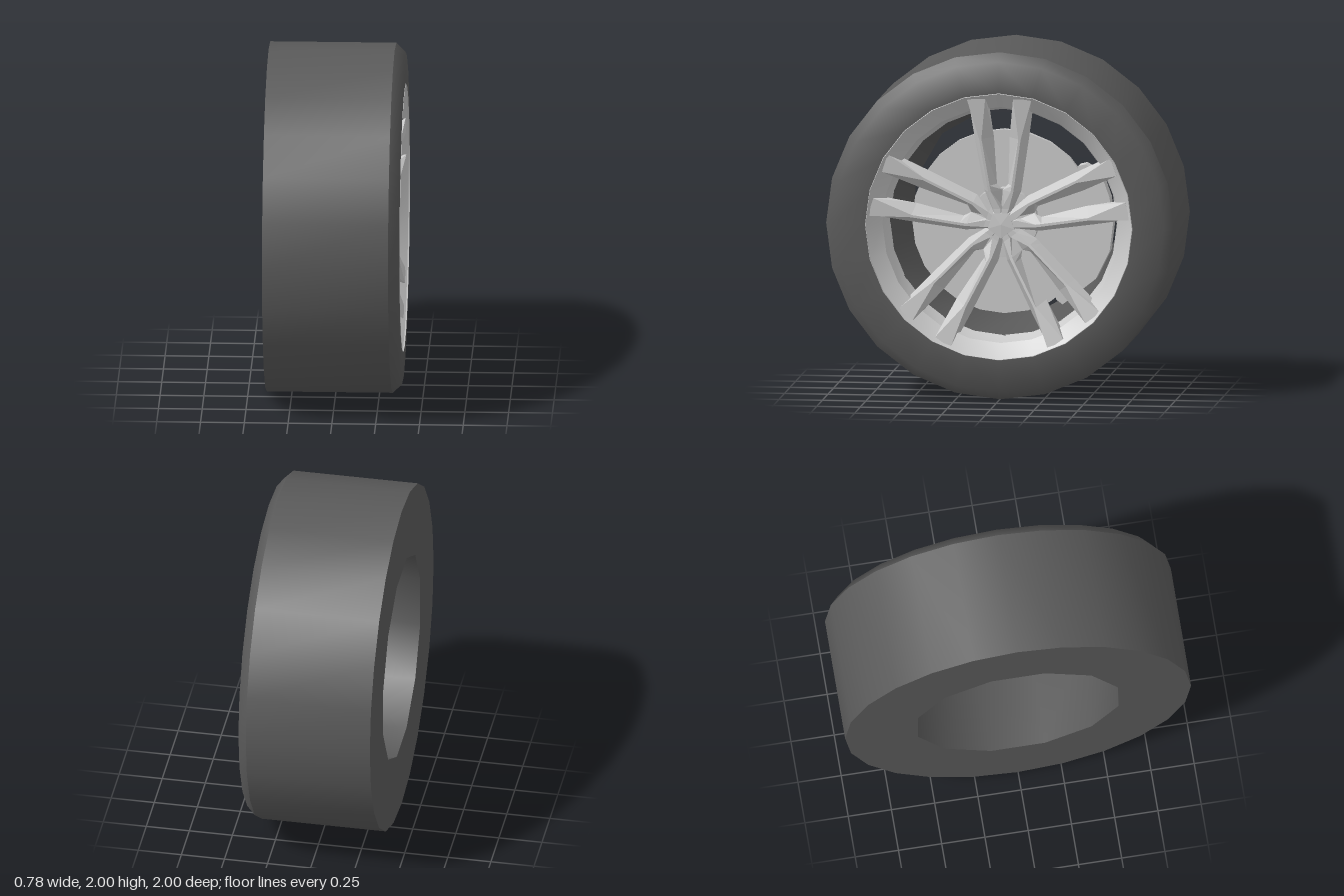
import * as THREE from 'three';
import { toCreasedNormals } from 'three/addons/utils/BufferGeometryUtils.js';

const metal = new THREE.MeshStandardMaterial({ color: 0xcccccc, side: THREE.DoubleSide });
const metalFlat = new THREE.MeshStandardMaterial({ color: 0xcccccc, flatShading: true });
const rubber = new THREE.MeshStandardMaterial({ color: 0x5a5a5a, side: THREE.DoubleSide });

// Revolve [radius, x] points around the wheel axle (x)
function ring(name, points, material, sides = 24, start = 0, crease = 0.6) {
  const profile = points.map(([r, x]) => new THREE.Vector2(r, x));
  const geo = new THREE.LatheGeometry(profile, sides, start);
  geo.rotateZ(-Math.PI / 2);
  const mesh = new THREE.Mesh(toCreasedNormals(geo, crease), material);
  mesh.name = name;
  return mesh;
}

function polygon(Type, radius, sides, start) {
  const points = [];
  for (let i = 0; i < sides; i++) {
    const a = start + (i / sides) * Math.PI * 2;
    points.push(new THREE.Vector2(radius * Math.cos(a), radius * Math.sin(a)));
  }
  return new Type(points);
}

// Spoke stations: radius, inner back/front edge, outer front/back edge, front x, back x
const STATIONS = [
  [0.03, 0, 0, 0.025, 0.03, 0.285, 0.19],
  [0.09, 0, 0.003, 0.045, 0.068, 0.285, 0.19],
  [0.19, 0, 0.057, 0.072, 0.107, 0.297, 0.2],
  [0.225, 0.033, 0.063, 0.078, 0.112, 0.302, 0.205],
  [0.5, 0.045, 0.106, 0.12, 0.157, 0.335, 0.245],
  [0.735, 0.075, 0.08, 0.187, 0.192, 0.37, 0.28],
];

function spokeGeometry(side) {
  const positions = [];
  const index = [];
  const face = (a, b, c) => (side > 0 ? index.push(a, b, c) : index.push(a, c, b));
  STATIONS.forEach(([r, inBack, inFront, outFront, outBack, front, back], s) => {
    positions.push(back, r, side * inBack, front, r, side * inFront);
    positions.push(front, r, side * outFront, back, r, side * outBack);
    if (s === 0) return;
    for (let i = 0; i < 4; i++) {
      const a = (s - 1) * 4, b = s * 4, j = (i + 1) % 4;
      face(a + i, b + i, b + j);
      face(a + i, b + j, a + j);
    }
  });
  const end = (STATIONS.length - 1) * 4;
  face(end, end + 3, end + 2);
  face(end, end + 2, end + 1);
  const geo = new THREE.BufferGeometry();
  geo.setAttribute('position', new THREE.Float32BufferAttribute(positions, 3));
  geo.setIndex(index);
  geo.computeVertexNormals();
  return geo;
}

export function createModel() {
  const model = new THREE.Group();
  model.name = 'wheel';
  const wheel = new THREE.Group();
  wheel.name = 'wheelAssembly';
  wheel.position.y = 1;
  model.add(wheel);

  // Tyre tread, then the chamfered shoulder and sidewall
  wheel.add(ring('tread', [[1, -0.39], [1, 0.33]], rubber));
  wheel.add(ring('sidewall', [[1, 0.33], [0.95, 0.382], [0.77, 0.386]], rubber, 24, 0, 1));

  // Flat tyre back with a twelve-sided opening
  const backShape = polygon(THREE.Shape, 1, 24, 0);
  backShape.holes.push(polygon(THREE.Path, 0.6, 12, Math.PI / 12));
  const back = new THREE.Mesh(new THREE.ShapeGeometry(backShape).rotateY(-Math.PI / 2), rubber);
  back.name = 'tyreBack';
  back.position.x = -0.39;
  wheel.add(back);

  // Tunnel through the tyre
  wheel.add(ring('innerBarrel', [[0.6, -0.39], [0.675, 0.18]], rubber, 12, Math.PI / 12));

  // Rim flange and shallow lip, then the steep inner step
  wheel.add(ring('rimLip', [[0.77, 0.38], [0.767, 0.388], [0.764, 0.38], [0.68, 0.3]], metal, 24, 0, 0.3));
  wheel.add(ring('rimStep', [[0.68, 0.3], [0.652, 0.17]], metal));

  // Five pairs of spokes
  const geometries = [1, -1].map(spokeGeometry);
  for (let k = 0; k < 5; k++) {
    const pair = new THREE.Group();
    pair.name = 'spokePair';
    pair.rotation.x = (k / 5) * Math.PI * 2;
    for (const geo of geometries) {
      const spoke = new THREE.Mesh(geo, metalFlat);
      spoke.name = 'spoke';
      pair.add(spoke);
    }
    wheel.add(pair);
  }

  // Five-sided centre cap, hub and brake disc
  wheel.add(ring('centreCap', [[0.09, 0.18], [0.08, 0.286], [0, 0.292]], metal, 5, Math.PI / 2, 0.1));
  wheel.add(ring('hub', [[0.2, 0.14], [0.2, 0.2], [0, 0.21]], metal, 20));
  wheel.add(ring('brakeDisc', [[0, 0.1], [0.53, 0.1], [0.53, 0.14], [0, 0.14]], metal));

  // Brake caliper wrapped round the rear edge of the disc
  const outline = [
    [0.43, 0.33], [0.47, 0.34], [0.56, 0.29], [0.61, 0.15], [0.63, 0], [0.61, -0.16],
    [0.53, -0.32], [0.34, -0.47], [0.3, -0.44], [0.36, -0.18], [0.39, 0.1],
  ].map(([z, y]) => new THREE.Vector2(z, y));
  const caliperGeo = new THREE.ExtrudeGeometry(new THREE.Shape(outline), { depth: 0.1, bevelEnabled: false });
  const caliper = new THREE.Mesh(caliperGeo.rotateY(Math.PI / 2), metalFlat);
  caliper.name = 'brakeCaliper';
  caliper.position.x = 0.07;
  wheel.add(caliper);

  return model;
}
